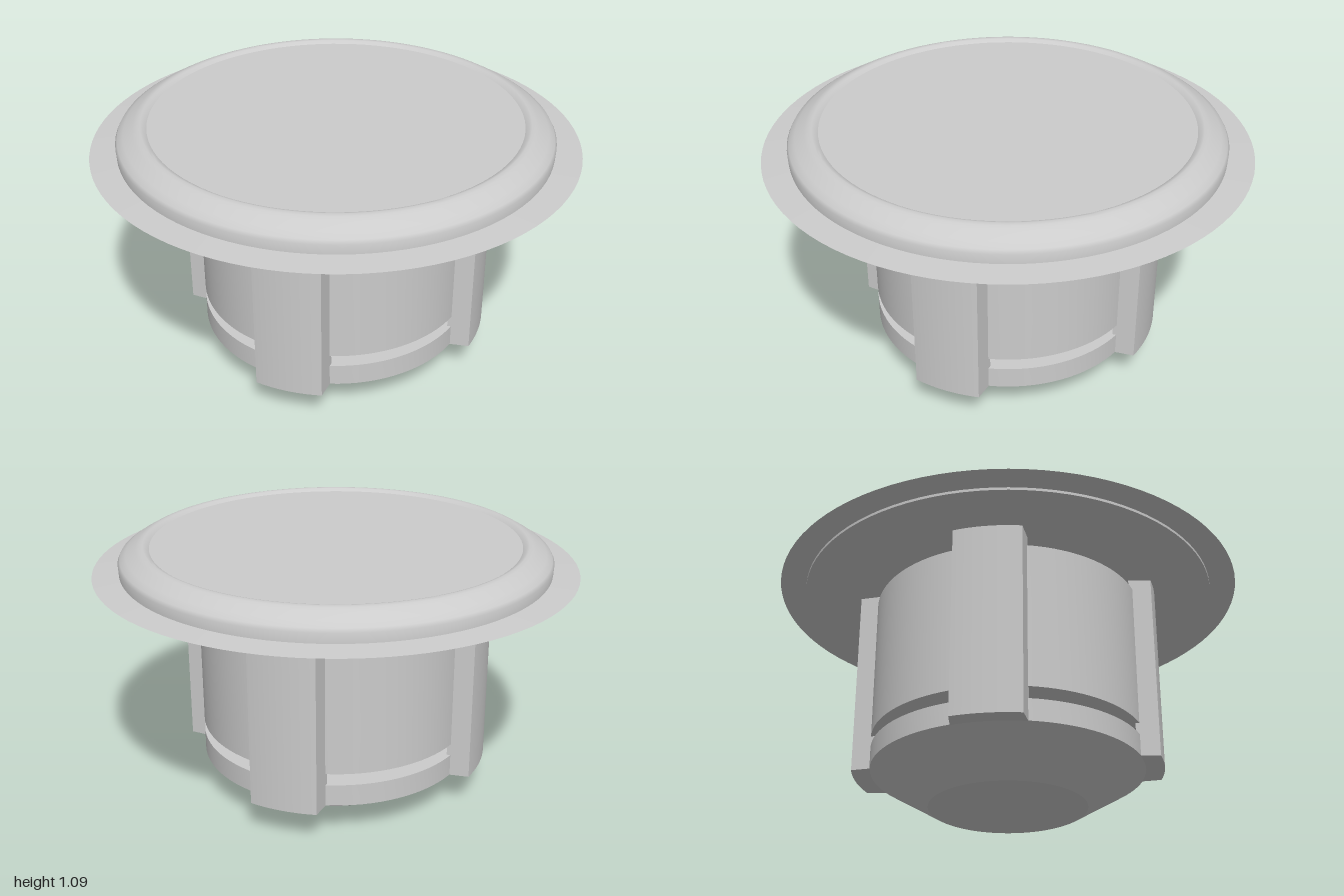
import * as THREE from 'three';
import { toCreasedNormals } from 'three/addons/utils/BufferGeometryUtils.js';

const material = new THREE.MeshStandardMaterial({ color: 0xcccccc });

// Turned part from [radius, y] pairs listed from bottom to top
function turned(name, points, crease = 0.45) {
  const profile = points.map(([r, y]) => new THREE.Vector2(r, y));
  const geometry = toCreasedNormals(new THREE.LatheGeometry(profile, 96), crease);
  const mesh = new THREE.Mesh(geometry, material);
  mesh.name = name;
  return mesh;
}

// Upright rib: curved outer face, slightly tapered sides, pointing to +z
function ribGeometry(bottom, top) {
  const outer = 0.65, half = Math.asin(0.14 / outer);
  const shape = new THREE.Shape();
  shape.moveTo(-0.15, -0.54);
  shape.lineTo(0.15, -0.54);
  shape.lineTo(0.14, -outer * Math.cos(half));
  shape.absarc(0, 0, outer, -Math.PI / 2 + half, -Math.PI / 2 - half, true);
  shape.closePath();
  const geometry = new THREE.ExtrudeGeometry(shape, {
    depth: top - bottom, bevelEnabled: false, curveSegments: 12,
  });
  geometry.rotateX(-Math.PI / 2);
  geometry.translate(0, bottom, 0);
  return toCreasedNormals(geometry, 0.4);
}

export function createModel() {
  const model = new THREE.Group();
  model.name = 'roundPlug';

  // Cap with rounded shoulder and shallow recessed face
  model.add(turned('cap', [
    [0, 0.955], [0.89, 0.955], [0.893, 1.02], [0.885, 1.035], [0.86, 1.052],
    [0.82, 1.075], [0.805, 1.082], [0.79, 1.085], [0.78, 1.083], [0.765, 1.072], [0, 1.072],
  ], 0.6));

  // Thin sealing lip tapering to a sharp edge
  model.add(turned('sealingLip', [[0.87, 0.965], [1, 0.971], [0.87, 0.981]], 0.05));

  // Main barrel, separated by slots from the cap and the tip
  model.add(turned('barrel', [[0, 0.29], [0.575, 0.29], [0.575, 0.912], [0, 0.912]]));

  // Tapered lead-in tip
  model.add(turned('tip', [[0, 0], [0.33, 0], [0.575, 0.148], [0.575, 0.24], [0, 0.24]]));

  // Four ribs joining cap, barrel and tip
  const rib = ribGeometry(0.147, 0.956);
  for (let i = 0; i < 4; i++) {
    const mesh = new THREE.Mesh(rib, material);
    mesh.name = 'rib' + (i + 1);
    mesh.rotation.y = i * Math.PI / 2;
    model.add(mesh);
  }
  return model;
}
